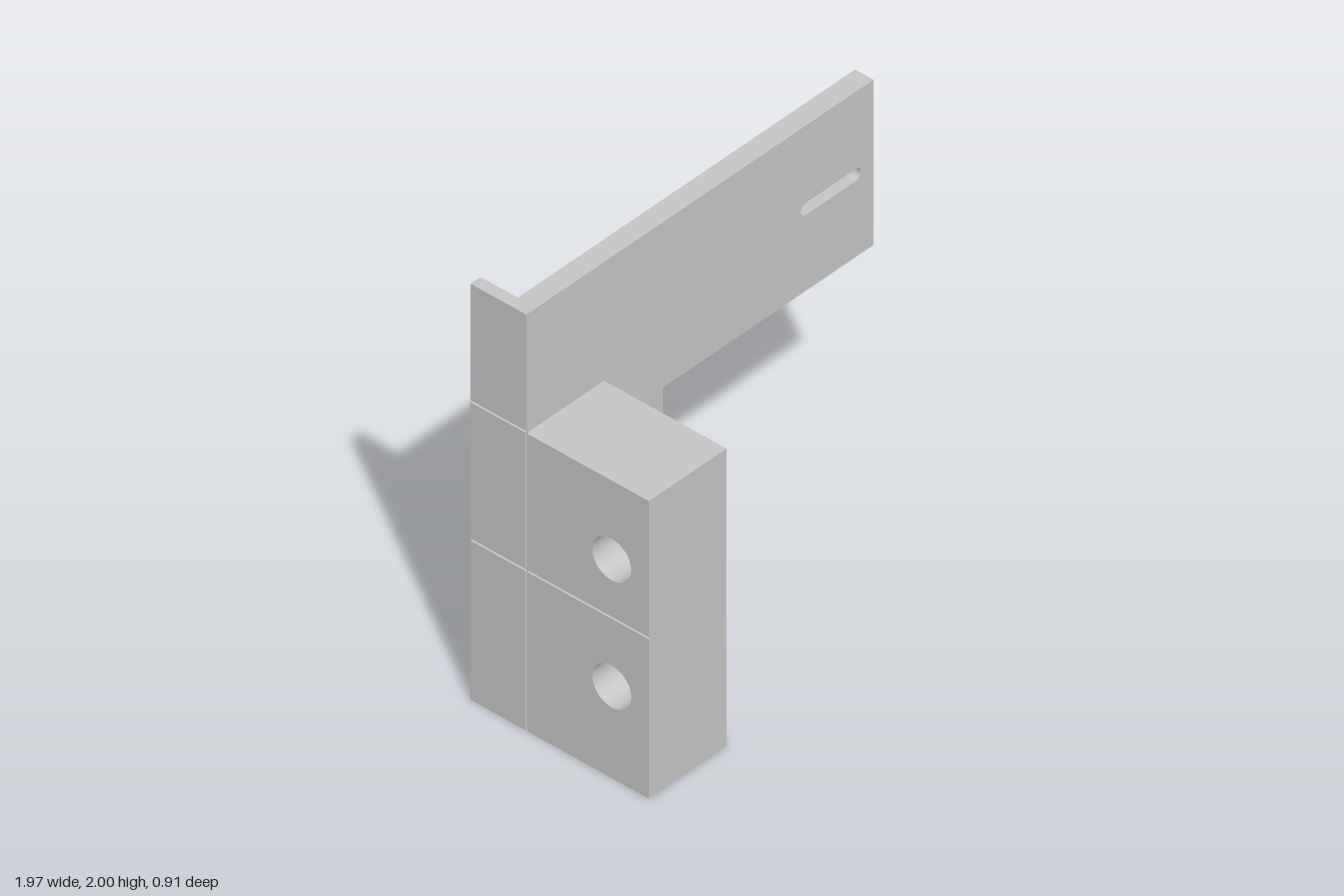
import * as THREE from 'three';

const grey = new THREE.MeshStandardMaterial({ color: 0xc6c6c6 });
grey.name = 'light grey';

// Slab cut in the z-y plane and extruded along x, with optional round holes
function sideSlab(name, [x0, x1], [z0, z1], [y0, y1], holeYs = [], radius = 0) {
  const shape = new THREE.Shape([
    new THREE.Vector2(-z1, y0), new THREE.Vector2(-z0, y0),
    new THREE.Vector2(-z0, y1), new THREE.Vector2(-z1, y1),
  ]);
  for (const y of holeYs) {
    shape.holes.push(new THREE.Path().absarc(-0.267, y, radius, 0, Math.PI * 2, true));
  }
  const geo = new THREE.ExtrudeGeometry(shape, { depth: x1 - x0, bevelEnabled: false, curveSegments: 40 });
  geo.rotateY(Math.PI / 2).translate(x0, 0, 0);
  const mesh = new THREE.Mesh(geo, grey);
  mesh.name = name;
  return mesh;
}

export function createModel() {
  const model = new THREE.Group();
  model.name = 'mountingBracket';

  const left = -0.983, skin = -0.973, step = -0.75, right = -0.543;
  const back = -0.457, plateBack = -0.266, plateFront = -0.171, front = 0.457;
  const blockTop = 1.43, groove = 0.005, midGroove = 0.77;
  const holeYs = [0.44, 1.05];

  // L-shaped plate with a rounded slot
  const plate = new THREE.Shape([
    [skin, 0], [-0.21, 0], [-0.21, 1.205], [0.983, 1.205], [0.983, 2], [skin, 2],
  ].map(([x, y]) => new THREE.Vector2(x, y)));
  const slot = new THREE.Path();
  slot.absarc(0.882, 1.599, 0.029, -Math.PI / 2, Math.PI / 2, false);
  slot.absarc(0.599, 1.599, 0.029, Math.PI / 2, Math.PI * 1.5, false);
  slot.closePath();
  plate.holes.push(slot);
  const plateGeo = new THREE.ExtrudeGeometry(plate, {
    depth: plateFront - plateBack, bevelEnabled: false, curveSegments: 12,
  }).translate(0, 0, plateBack);
  const plateMesh = new THREE.Mesh(plateGeo, grey);
  plateMesh.name = 'slottedPlate';
  model.add(plateMesh);

  // Rear flanges along the side and the foot
  model.add(
    sideSlab('sideFlange', [skin, -0.927], [back, plateBack], [0, 2]),
    sideSlab('footFlange', [-0.927, -0.21], [back, plateBack], [0, 0.055]),
  );

  // Block with wide counterbores that narrow to through holes
  model.add(
    sideSlab('blockOuter', [skin, step], [plateFront, front], [0, blockTop], holeYs, 0.1),
    sideSlab('blockInner', [step, right], [plateFront, front], [0, blockTop], holeYs, 0.058),
  );

  // Outer side panels, spaced to leave shallow grooves
  const lower = [0, midGroove - groove];
  const upper = [midGroove + groove, blockTop];
  const rearZ = [back, plateFront - groove], blockZ = [plateFront + groove, front];
  model.add(
    sideSlab('lowerBlockPanel', [left, skin], blockZ, lower, [holeYs[0]], 0.1),
    sideSlab('upperBlockPanel', [left, skin], blockZ, upper, [holeYs[1]], 0.1),
    sideSlab('lowerFlangePanel', [left, skin], rearZ, lower),
    sideSlab('middleFlangePanel', [left, skin], rearZ, upper),
    sideSlab('topFlangePanel', [left, skin], [back, plateFront], [blockTop + 2 * groove, 2]),
  );

  return model;
}
